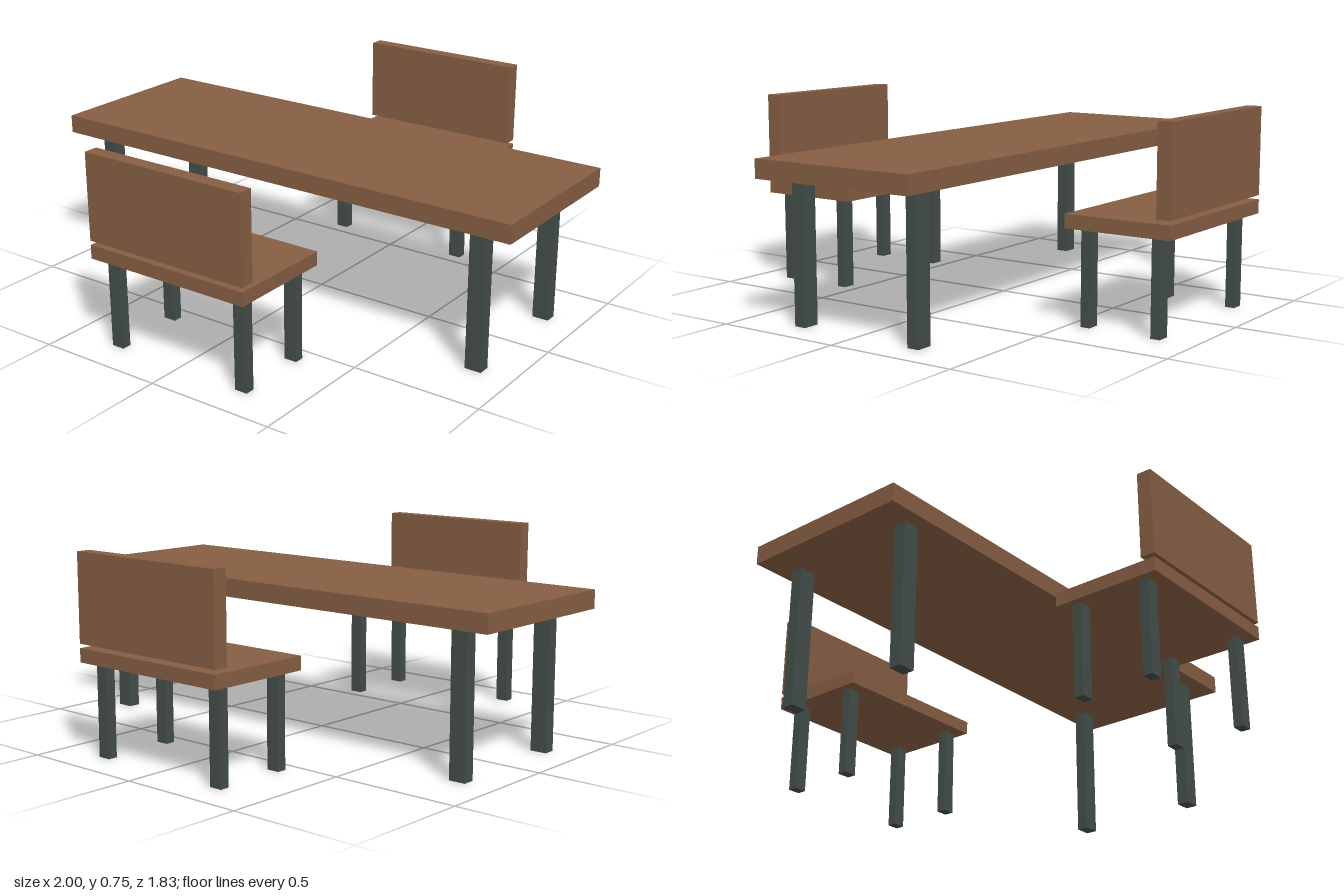
import * as THREE from 'three';

const wood = new THREE.MeshStandardMaterial({ color: 0x855d43 });
const metal = new THREE.MeshStandardMaterial({ color: 0x434d49 });

// Box given by its size, horizontal centre and underside height
function addBox(parent, name, material, [w, h, d], [x, bottom, z]) {
  const mesh = new THREE.Mesh(new THREE.BoxGeometry(w, h, d), material);
  mesh.name = name;
  mesh.position.set(x, bottom + h / 2, z);
  parent.add(mesh);
}

// Four legs at the corners of a rectangle
function addLegs(parent, name, size, dx, dz) {
  for (const sx of [-1, 1]) {
    for (const sz of [-1, 1]) addBox(parent, name, metal, size, [sx * dx, 0, sz * dz]);
  }
}

function createTable() {
  const table = new THREE.Group();
  table.name = 'table';
  addBox(table, 'tableTop', wood, [2, 0.07, 0.67], [0, 0.535, 0]);
  addLegs(table, 'tableLeg', [0.065, 0.535, 0.047], 0.848, 0.254);
  return table;
}

// Bench centred on its seat, backrest towards +z
function createBench(name) {
  const bench = new THREE.Group();
  bench.name = name;
  addBox(bench, 'seat', wood, [0.68, 0.052, 0.416], [0, 0.352, 0]);
  addBox(bench, 'backrest', wood, [0.68, 0.33, 0.055], [0, 0.42, 0.1805]);
  addLegs(bench, 'benchLeg', [0.051, 0.352, 0.037], 0.284, 0.14);
  return bench;
}

export function createModel() {
  const model = new THREE.Group();
  model.name = 'tableWithBenches';
  model.add(createTable());

  // Two benches facing the table
  const front = createBench('frontBench');
  front.position.z = 0.709;
  const back = createBench('backBench');
  back.position.z = -0.709;
  back.rotation.y = Math.PI;
  model.add(front, back);
  return model;
}
